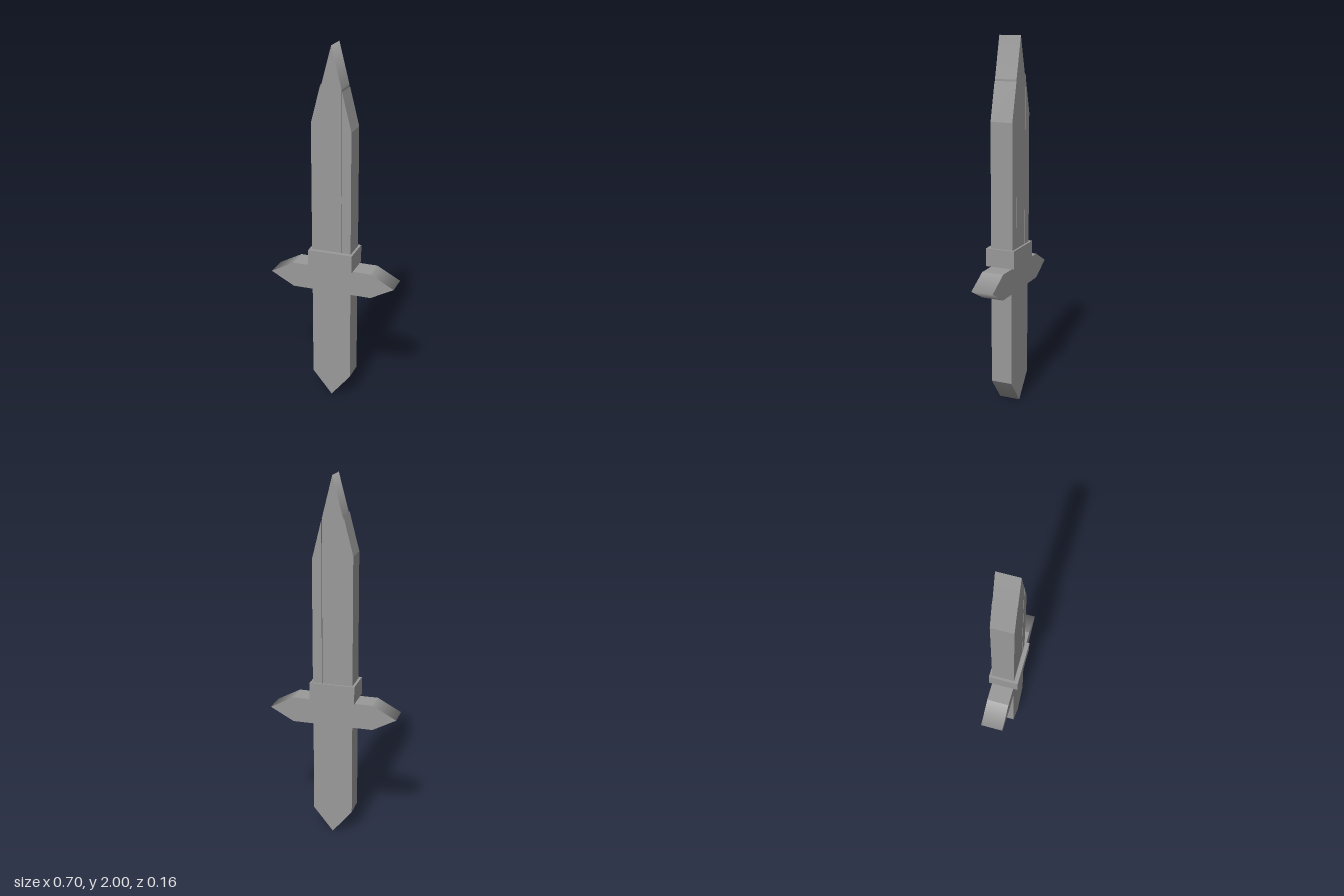
import * as THREE from 'three';

const steel = new THREE.MeshStandardMaterial({ color: 0x999999 });
steel.name = 'grey steel';

// Flat plate cut from an outline, spanning zBack to zFront.
// tips: [x, y, nx, ny] points whose two edge walls are shaded smoothly together.
function plate(name, outline, zBack, zFront, tips = []) {
  const shape = new THREE.Shape(outline.map(([x, y]) => new THREE.Vector2(x, y)));
  const geo = new THREE.ExtrudeGeometry(shape, { depth: zFront - zBack, bevelEnabled: false });
  geo.translate(0, 0, zBack);
  const p = geo.attributes.position, n = geo.attributes.normal;
  for (let i = 0; i < p.count; i++) {
    if (Math.abs(n.getZ(i)) > 0.5) continue;
    for (const [x, y, nx, ny] of tips) {
      if (Math.hypot(p.getX(i) - x, p.getY(i) - y) < 1e-4) n.setXYZ(i, nx, ny, 0);
    }
  }
  const mesh = new THREE.Mesh(geo, steel);
  mesh.name = name;
  return mesh;
}

// Hollow rectangular collar that the blade slots into
function collar() {
  const rect = (path, x0, x1, z0, z1) =>
    path.moveTo(x0, -z1).lineTo(x1, -z1).lineTo(x1, -z0).lineTo(x0, -z0).closePath();
  const shape = rect(new THREE.Shape(), -0.125, 0.123, -0.082, 0.08);
  shape.holes.push(rect(new THREE.Path(), -0.111, 0.11, -0.071, 0.056));
  const geo = new THREE.ExtrudeGeometry(shape, { depth: 0.098, bevelEnabled: false });
  geo.rotateX(-Math.PI / 2).translate(0, 0.793, 0);
  const mesh = new THREE.Mesh(geo, steel);
  mesh.name = 'collar';
  return mesh;
}

export function createModel() {
  const model = new THREE.Group();
  model.name = 'dagger';

  // Blade: pointed core with a bevel-topped strip along each edge
  const blade = new THREE.Group();
  blade.name = 'blade';
  blade.add(
    plate('bladeCore', [[-0.058, 0.79], [0.055, 0.79], [0.055, 1.78], [0, 2], [-0.058, 1.78]],
      -0.066, 0.055, [[0, 2, 0, 1]]),
    plate('bladeRightEdge', [[-0.111, 0.79], [-0.058, 0.79], [-0.058, 1.8], [-0.111, 1.595]], -0.067, 0.055),
    plate('bladeLeftEdge', [[0.058, 0.79], [0.109, 0.79], [0.109, 1.565], [0.058, 1.77]], -0.067, 0.056)
  );

  // Crossguard with a point at each end
  const guard = plate('crossguard',
    [[-0.352, 0.72], [-0.222, 0.65], [0.222, 0.65], [0.352, 0.72], [0.222, 0.79], [-0.222, 0.79]],
    -0.066, 0.055, [[-0.352, 0.72, -1, 0], [0.352, 0.72, 1, 0]]);

  // Grip with pointed pommel
  const grip = plate('grip',
    [[0, 0], [0.109, 0.135], [0.109, 0.65], [-0.11, 0.65], [-0.11, 0.135]],
    -0.062, 0.055, [[0, 0, 0, -1]]);

  model.add(blade, collar(), guard, grip);
  return model;
}
